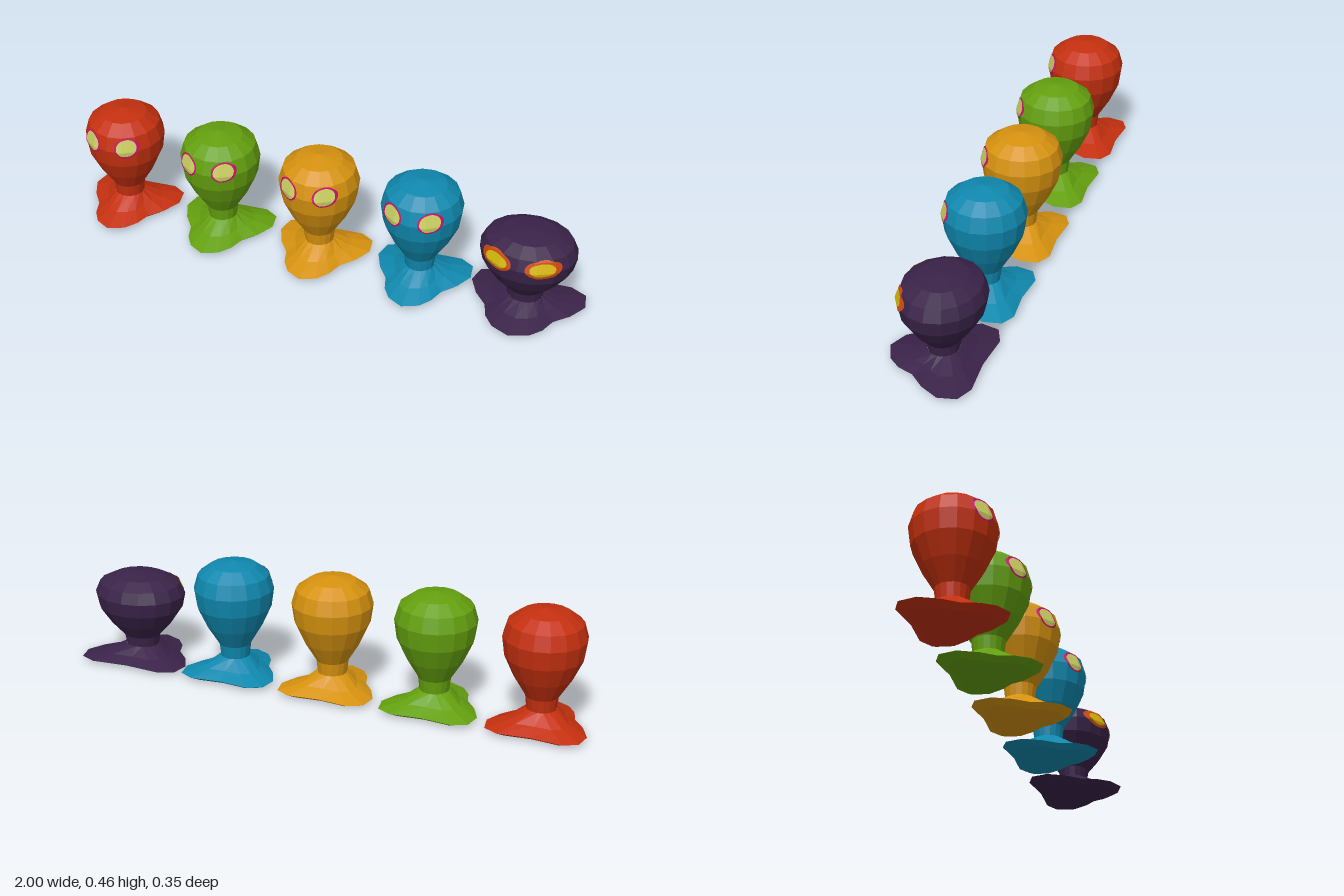
import * as THREE from 'three';

const SIDES = 16;
const AXIS_Z = -0.025; // head and neck sit slightly behind the middle of the foot

// Head and neck profile from the neck up: [radius, height]
const PROFILE = [
  [0.054, 0.076], [0.06, 0.126], [0.105, 0.2], [0.14, 0.277],
  [0.15, 0.348], [0.134, 0.403], [0.087, 0.438], [0, 0.455],
];

// Half outline of the three-lobed foot, front tip to middle of the back: [x, z]
const HALF_FOOT = [
  [0, 0.171], [0.058, 0.143], [0.09, 0.098], [0.108, 0.04], [0.15, -0.012],
  [0.182, -0.08], [0.17, -0.146], [0.118, -0.173], [0, -0.162],
];

const paint = (name, color, extra = {}) =>
  new THREE.MeshStandardMaterial({ name, color, flatShading: true, ...extra });

function part(name, geometry, material) {
  const mesh = new THREE.Mesh(geometry, material);
  mesh.name = name;
  return mesh;
}

// Joins rings of equal length, bottom to top, into one surface
function loft(rings, closed) {
  const n = rings[0].length;
  const index = [];
  for (let r = 0; r < rings.length - 1; r++) {
    for (let i = 0; i < (closed ? n : n - 1); i++) {
      const a = r * n + i, b = r * n + ((i + 1) % n);
      index.push(a, b, b + n, a, b + n, a + n);
    }
  }
  const geometry = new THREE.BufferGeometry();
  geometry.setAttribute('position', new THREE.Float32BufferAttribute(rings.flat(2), 3));
  geometry.setIndex(index);
  geometry.computeVertexNormals();
  return geometry;
}

function footGeometry() {
  const mirrored = HALF_FOOT.slice(1, -1).reverse().map(([x, z]) => [-x, z]);
  const outline = [...HALF_FOOT, ...mirrored];
  const neck = outline.map((_, i) => {
    const a = (i / outline.length) * Math.PI * 2;
    return [Math.sin(a) * 0.055, AXIS_Z + Math.cos(a) * 0.055];
  });
  const blend = (t, y) => outline.map(([x, z], i) => [
    x + (neck[i][0] - x) * t, y, z + (neck[i][1] - z) * t,
  ]);
  const sole = (s, y) => outline.map(([x, z]) => [x * s, y, z * s]);
  return loft([sole(0, 0), sole(0.82, 0), blend(0, 0.018), blend(0.55, 0.042), blend(1, 0.078)], true);
}

// Point on the faceted head surface at a given x and y, lifted slightly
function onHead(x, y, lift) {
  const k = PROFILE.findIndex((p) => p[1] > y);
  const [r0, y0] = PROFILE[k - 1], [r1, y1] = PROFILE[k];
  const radius = r0 + (r1 - r0) * (y - y0) / (y1 - y0) + lift;
  const step = (Math.PI * 2) / SIDES;
  // Facet whose span contains x
  let f = 0;
  while (radius * Math.sin((f + 1) * step) < Math.abs(x) && f < SIDES / 4 - 1) f++;
  const xa = radius * Math.sin(f * step), xb = radius * Math.sin((f + 1) * step);
  const za = radius * Math.cos(f * step), zb = radius * Math.cos((f + 1) * step);
  return [x, y, AXIS_Z + za + (zb - za) * (Math.abs(x) - xa) / (xb - xa)];
}

// Elliptical patch or ring that follows the head
function eyePatch(cx, inner, outer, rows) {
  const cy = 0.363, around = 32;
  const rings = [];
  for (let r = 0; r <= rows; r++) {
    const t = r / rows;
    const rx = outer[0] + (inner[0] - outer[0]) * t;
    const ry = outer[1] + (inner[1] - outer[1]) * t;
    rings.push(Array.from({ length: around }, (_, i) => {
      const a = (i / around) * Math.PI * 2;
      return onHead(cx + Math.cos(a) * rx, cy + Math.sin(a) * ry, 0.003);
    }));
  }
  return loft(rings, true);
}

function figure(name, skin, eyeMat, rimMat, eye, rim) {
  const group = new THREE.Group();
  group.name = name;
  const points = PROFILE.map(([r, y]) => new THREE.Vector2(r, y));
  const head = part('headAndNeck', new THREE.LatheGeometry(points, SIDES), skin);
  head.position.z = AXIS_Z;
  group.add(head, part('foot', footGeometry(), skin));
  for (const side of [1, -1]) {
    const label = side > 0 ? 'left' : 'right';
    group.add(
      part(label + 'Eye', eyePatch(side * 0.071, [0, 0], eye, 8), eyeMat),
      part(label + 'EyeRim', eyePatch(side * 0.071, eye, rim, 2), rimMat),
    );
  }
  return group;
}

export function createModel() {
  const model = new THREE.Group();
  model.name = 'figureRow';
  const double = { side: THREE.DoubleSide };
  const paleEye = paint('pale yellow', 0xcbce62, double);
  const pinkRim = paint('magenta', 0xcc0c70, double);
  const goldEye = paint('gold', 0xd4b40c, double);
  const orangeRim = paint('burnt orange', 0xc84a0e, double);

  // Four figures of the same size
  const skins = [['red', 0xc4300f], ['green', 0x64a00f], ['orange', 0xd6920f], ['blue', 0x0f88ae]];
  skins.forEach(([name, color], i) => {
    const one = figure(name + 'Figure', paint(name, color), paleEye, pinkRim, [0.034, 0.034], [0.041, 0.04]);
    one.position.x = -0.82 + i * 0.4;
    model.add(one);
  });

  // Short, wide figure at the end
  const squat = figure('purpleFigure', paint('purple', 0x3a2349), goldEye, orangeRim, [0.036, 0.031], [0.05, 0.045]);
  squat.scale.set(1.18, 0.776, 1);
  squat.position.x = 0.782;
  model.add(squat);
  return model;
}
